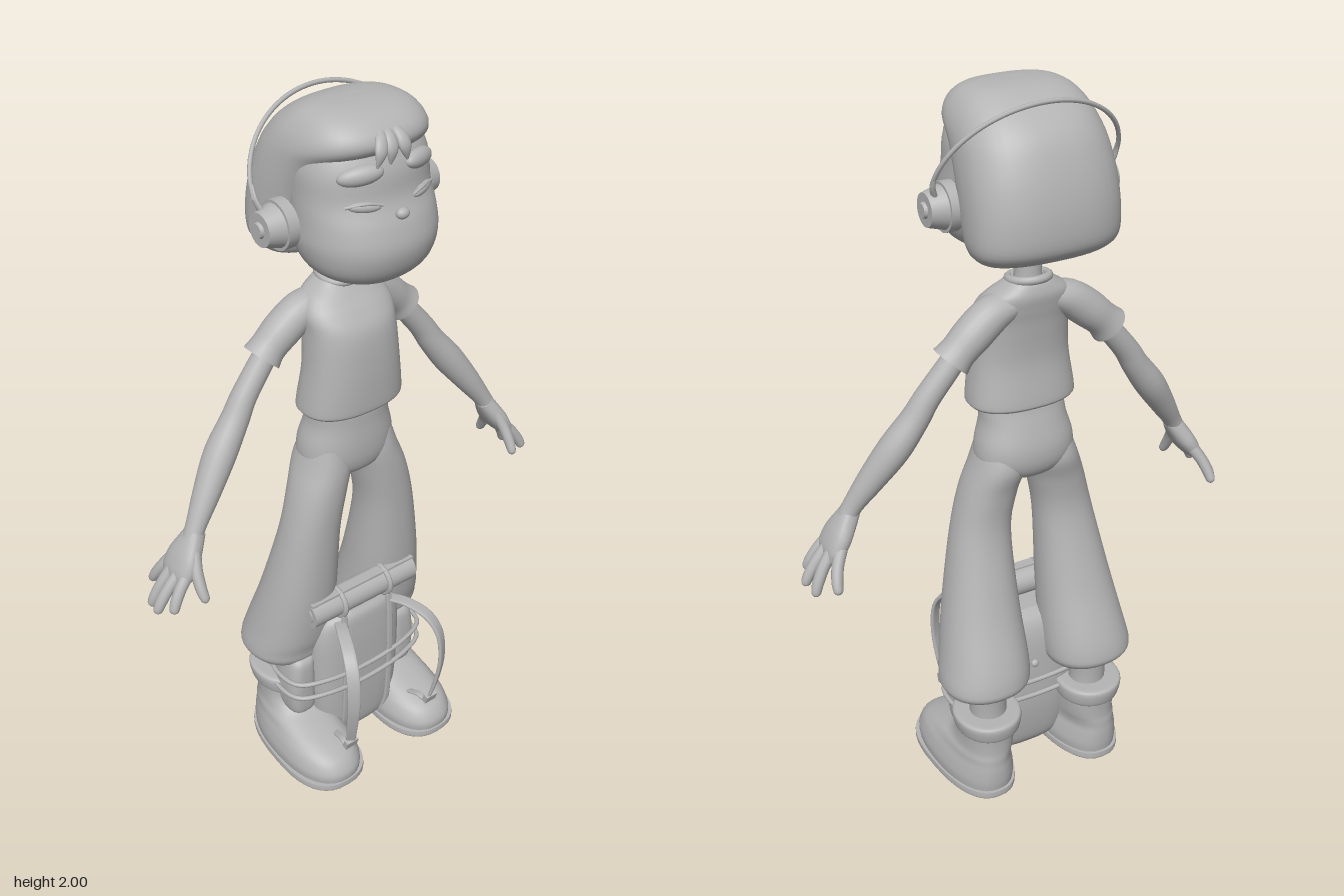
import * as THREE from 'three';

const V = (x, y, z) => new THREE.Vector3(x, y, z);

// Catmull-Rom smoothing of a table of rows, k steps between rows
function smooth(rows, k = 5) {
  const out = [];
  const at = i => rows[Math.max(0, Math.min(rows.length - 1, i))];
  for (let i = 0; i < rows.length - 1; i++)
    for (let s = 0; s < k; s++) {
      const t = s / k;
      out.push(rows[i].map((p1, c) => {
        const p0 = at(i - 1)[c], p2 = at(i + 1)[c], p3 = at(i + 2)[c];
        return 0.5 * (2 * p1 + (p2 - p0) * t + (2 * p0 - 5 * p1 + 4 * p2 - p3) * t * t
          + (3 * p1 - p0 - 3 * p2 + p3) * t * t * t);
      }));
    }
  out.push(rows[rows.length - 1]);
  return out;
}

// Skin closed rings of points and close both ends with flat caps
function skin(rings) {
  const n = rings[0].length, pts = rings.flat(), idx = [];
  for (let i = 0; i < rings.length - 1; i++)
    for (let j = 0; j < n; j++) {
      const a = i * n + j, b = i * n + (j + 1) % n;
      idx.push(a, b, b + n, a, b + n, a + n);
    }
  [[rings[0], true], [rings[rings.length - 1], false]].forEach(([ring, low]) => {
    const mid = V(0, 0, 0);
    ring.forEach(p => mid.addScaledVector(p, 1 / n));
    const base = pts.length;
    pts.push(mid, ...ring);
    for (let j = 0; j < n; j++) {
      const a = base + 1 + j, b = base + 1 + (j + 1) % n;
      idx.push(base, low ? b : a, low ? a : b);
    }
  });
  const g = new THREE.BufferGeometry().setFromPoints(pts);
  g.setIndex(idx);
  g.computeVertexNormals();
  return g;
}

const power = (v, n) => Math.sign(v) * Math.abs(v) ** (2 / n);

// Horizontal slices from the bottom up: [y, x0, x1, z0, z1]; n squares the slice, egg widens its front
function stack(rows, n = 2.2, egg = 0, sides = 40) {
  return skin(smooth(rows).map(([y, x0, x1, z0, z1]) =>
    Array.from({ length: sides }, (_, j) => {
      const a = j / sides * Math.PI * 2, v = -power(Math.sin(a), n);
      return V((x0 + x1) / 2 + (x1 - x0) / 2 * power(Math.cos(a), n) * (1 + egg * v), y,
        (z0 + z1) / 2 + (z1 - z0) / 2 * v);
    })));
}

// Limb along a path: [x, y, z, thickness, width], the width lying along ref
function limb(rows, ref = V(0, 0, 1), n = 2, sides = 20) {
  const r = smooth(rows), p = r.map(q => V(q[0], q[1], q[2]));
  return skin(r.map((q, i) => {
    const t = p[Math.min(i + 1, p.length - 1)].clone().sub(p[Math.max(i - 1, 0)]).normalize();
    const v = ref.clone().addScaledVector(t, -ref.dot(t)).normalize(), u = v.clone().cross(t);
    return Array.from({ length: sides }, (_, j) => {
      const a = j / sides * Math.PI * 2;
      return p[i].clone().addScaledVector(u, q[3] * power(Math.cos(a), n))
        .addScaledVector(v, q[4] * power(Math.sin(a), n));
    });
  }));
}

const cord = (pts, r, closed = false) =>
  new THREE.TubeGeometry(new THREE.CatmullRomCurve3(pts.map(p => V(...p)), closed), 64, r, 8, closed);

const blob = (x, y, z, rx, ry, rz, turn = 0, yaw = 0) =>
  new THREE.SphereGeometry(1, 24, 16).scale(rx, ry, rz).rotateZ(turn).rotateY(yaw).translate(x, y, z);

const disc = (r0, r1, h, x, y, z) =>
  new THREE.CylinderGeometry(r1, r0, h, 28).rotateZ(-Math.PI / 2).translate(x, y, z);

function mirror(geo) {
  const g = geo.clone().scale(-1, 1, 1), ix = g.index.array;
  for (let i = 0; i < ix.length; i += 3) [ix[i], ix[i + 2]] = [ix[i + 2], ix[i]];
  return g;
}

export function createModel() {
  const model = new THREE.Group();
  const clay = new THREE.MeshStandardMaterial({ color: 0xb4b4b4 });
  clay.name = 'clay grey';
  const add = (name, geo) => {
    const m = new THREE.Mesh(geo, clay);
    m.name = name;
    model.add(m);
  };
  const both = (name, geo) => { add(name + 'Left', geo); add(name + 'Right', mirror(geo)); };

  // Head and hair
  add('face', stack([[1.575, -.04, .04, .03, .12], [1.585, -.1, .1, -.02, .165], [1.62, -.155, .155, -.06, .202],
    [1.68, -.178, .178, -.1, .22], [1.74, -.178, .178, -.1, .208], [1.8, -.175, .175, -.1, .182],
    [1.87, -.17, .17, -.1, .172], [1.93, -.14, .14, -.08, .14], [1.96, -.08, .08, -.05, .09]]));
  add('hair', stack([[1.605, -.14, .14, -.16, -.05], [1.615, -.172, .172, -.195, -.02], [1.65, -.194, .194, -.23, .0],
    [1.72, -.198, .198, -.235, .025], [1.8, -.195, .195, -.222, .06], [1.87, -.187, .187, -.198, .11],
    [1.915, -.178, .178, -.172, .165], [1.95, -.162, .162, -.135, .165], [1.98, -.135, .135, -.085, .13],
    [1.995, -.095, .095, -.04, .085], [2, -.03, .03, 0, .04]], 2.5));
  [[-.05, .25], [-.018, .1], [.02, -.2]].forEach(([x, tilt], i) => add('fringe' + (i + 1),
    limb([[x * .5, 1.962, .145, .004, .008], [x * .8, 1.945, .168, .009, .015], [x, 1.92, .181, .009, .016],
      [x - tilt * .04, 1.888, .18, .002, .003]], V(1, 0, 0))));
  both('eyebrow', blob(.085, 1.867, .15, .056, .024, .022, -.12, .4));
  both('eyelid', blob(.085, 1.796, .166, .04, .013, .012, .08, .4));
  both('lashLine', cord([[.045, 1.797, .183], [.085, 1.806, .174], [.128, 1.799, .149]], .004));
  add('nose', blob(0, 1.77, .2, .018, .014, .014));

  // Headphones
  both('earPad', disc(.062, .062, .03, .2, 1.725, -.005));
  both('earCup', disc(.055, .042, .045, .235, 1.725, -.005));
  both('earCupCap', disc(.022, .018, .014, .259, 1.725, -.005));
  both('bandArm', limb([[.238, 1.76, -.02, .008, .012], [.248, 1.79, -.033, .006, .01], [.246, 1.82, -.047, .004, .006]]));
  add('headband', cord(Array.from({ length: 17 }, (_, i) => {
    const a = i / 16 * Math.PI, h = Math.sin(a);
    return [.25 * Math.cos(a), 1.79 + .19 * h, -.033 - .1 * h];
  }), .006));

  // Neck, shirt and sleeves
  add('neck', stack([[1.48, -.045, .045, -.085, 0], [1.53, -.036, .036, -.077, -.007], [1.62, -.036, .036, -.075, -.005]], 2));
  add('shirt', stack([[1.168, -.135, .135, -.085, .085], [1.175, -.146, .146, -.096, .095], [1.195, -.148, .148, -.098, .1],
    [1.3, -.134, .134, -.085, .1], [1.4, -.127, .127, -.092, .09], [1.45, -.128, .128, -.1, .062],
    [1.485, -.11, .11, -.105, .03], [1.51, -.075, .075, -.1, .008], [1.525, -.055, .055, -.092, .0]], 2.4));
  add('collar', new THREE.TorusGeometry(.051, .011, 10, 36).rotateX(Math.PI / 2 + .15).translate(0, 1.522, -.045));
  both('sleeve', limb([[.05, 1.465, -.05, .035, .045], [.11, 1.445, -.055, .048, .05], [.165, 1.405, -.06, .05, .05],
    [.205, 1.37, -.062, .047, .047], [.228, 1.346, -.062, .053, .051]]));

  // Arms and hands
  both('arm', limb([[.19, 1.385, -.06, .03, .03], [.23, 1.335, -.06, .032, .032], [.29, 1.26, -.055, .034, .034],
    [.325, 1.205, -.05, .037, .038], [.38, 1.13, -.04, .042, .044], [.44, 1.045, -.02, .035, .037],
    [.487, .975, -.004, .026, .028], [.505, .94, 0, .026, .03]]));
  both('palm', limb([[.49, .965, 0, .024, .026], [.508, .935, 0, .027, .04], [.53, .9, 0, .028, .055],
    [.552, .865, 0, .023, .057], [.565, .845, 0, .012, .045]], undefined, 2.4));
  const fingers = [[.545, .875, .038, .605, .785, .055], [.558, .865, .012, .628, .767, .008],
    [.558, .865, -.018, .617, .757, -.038], [.54, .88, -.042, .575, .785, -.098], [.515, .925, .028, .53, .81, .095]];
  fingers.forEach(([x, y, z, X, Y, Z], i) => both(i < 4 ? 'finger' + (i + 1) : 'thumb',
    limb([0, .35, .7, .93, 1].map((t, k) => {
      const r = [.017, .016, .015, .012, .004][k];
      return [x + (X - x) * t + .008 * Math.sin(t * 3.14), y + (Y - y) * t, z + (Z - z) * t, r, r];
    }), undefined, 2, 12)));

  // Trousers
  add('hips', stack([[.955, -.04, .04, -.06, .03], [.975, -.095, .095, -.095, .06], [1.01, -.135, .135, -.113, .073],
    [1.06, -.136, .136, -.115, .076], [1.12, -.12, .12, -.1, .073], [1.16, -.116, .116, -.088, .072],
    [1.2, -.11, .11, -.08, .07]], 2.3));
  both('trouserLeg', stack([[.338, .075, .235, -.165, -.01], [.34, .055, .265, -.185, .01], [.362, .04, .287, -.21, .024],
    [.39, .036, .289, -.212, .03], [.45, .036, .278, -.196, .045], [.6, .042, .25, -.142, .062],
    [.8, .045, .21, -.09, .07], [.92, .025, .18, -.09, .073], [1, .006, .15, -.105, .07], [1.06, .02, .128, -.09, .06]]));

  // Boots
  both('ankle', stack([[.2, .105, .215, -.165, -.06], [.28, .11, .215, -.163, -.058], [.37, .105, .22, -.17, -.05]], 2));
  both('bootSole', stack([[0, .068, .278, -.195, .212], [.006, .062, .285, -.2, .22], [.024, .062, .285, -.2, .22]], 2.5, .13));
  both('boot', stack([[.02, .068, .278, -.192, .215], [.05, .066, .28, -.195, .215], [.085, .075, .272, -.195, .19],
    [.11, .085, .262, -.193, .14], [.13, .088, .255, -.192, .08], [.15, .088, .246, -.19, .025],
    [.18, .088, .242, -.19, -.01], [.22, .088, .242, -.192, -.02], [.25, .09, .242, -.192, -.025]], 2.3, .08));
  both('bootCuff', stack([[.205, .085, .246, -.197, -.012], [.215, .074, .254, -.206, -.004], [.245, .07, .26, -.212, -.002],
    [.26, .075, .256, -.208, -.01], [.262, .095, .235, -.19, -.03]], 2.1));

  // Backpack body, pouches and bedroll
  add('backpack', stack([[.02, -.07, .07, -.04, .045], [.035, -.105, .105, -.06, .062], [.08, -.135, .135, -.08, .074],
    [.2, -.153, .153, -.095, .082], [.35, -.155, .155, -.09, .084], [.43, -.148, .148, -.08, .082],
    [.475, -.125, .125, -.06, .078], [.495, -.08, .08, -.03, .066]], 3));
  both('sidePouch', stack([[.16, .15, .205, -.05, .02], [.17, .14, .222, -.065, .035], [.25, .14, .23, -.07, .04],
    [.33, .14, .222, -.068, .038], [.355, .14, .212, -.06, .03], [.36, .15, .2, -.05, .02]], 3));
  const roll = (r, h, z = 0) => new THREE.CylinderGeometry(r, r, h, 28).rotateZ(Math.PI / 2).translate(0, .542, .045 + z);
  add('bedroll', roll(.041, .36));
  add('bedrollCore', roll(.024, .368));
  add('bedrollFlap', new THREE.BoxGeometry(.36, .007, .03).translate(0, .584, .055));
  both('rollStrap', new THREE.TorusGeometry(.045, .008, 8, 28).rotateY(Math.PI / 2).translate(.08, .542, .045));
  both('packStrap', limb([[.075, .05, .068, .005, .009], [.08, .12, .083, .005, .009], [.08, .3, .09, .005, .009],
    [.08, .43, .088, .005, .009], [.08, .51, .082, .005, .009]], V(1, 0, 0), 4));
  [.25, .302].forEach((y, i) => add('packCord' + (i + 1), cord([[0, y - .008, .094], [.14, y, .086], [.222, y, .05],
    [.238, y, -.015], [.222, y, -.075], [.14, y, -.1], [0, y - .008, -.104], [-.14, y, -.1], [-.222, y, -.075],
    [-.238, y, -.015], [-.222, y, .05], [-.14, y, .086]], .007, true)));
  add('packButton', blob(0, .345, -.092, .012, .012, .01));

  // Shoulder straps with buckles
  both('shoulderStrap', limb([[.09, .485, .075, .005, .017], [.115, .487, .125, .005, .018], [.142, .465, .185, .006, .019],
    [.158, .41, .222, .006, .019], [.162, .32, .23, .006, .018], [.158, .23, .217, .006, .016],
    [.15, .155, .2, .005, .013]], V(.85, 0, -.5), 4));
  both('strapBuckle', new THREE.BoxGeometry(.04, .028, .016).rotateX(.3).translate(.15, .148, .2));
  both('strapTail', limb([[.15, .15, .2, .004, .01], [.15, .122, .178, .004, .009], [.145, .125, .15, .004, .009],
    [.135, .1, .08, .004, .009]], V(1, 0, 0), 4));

  return model;
}
